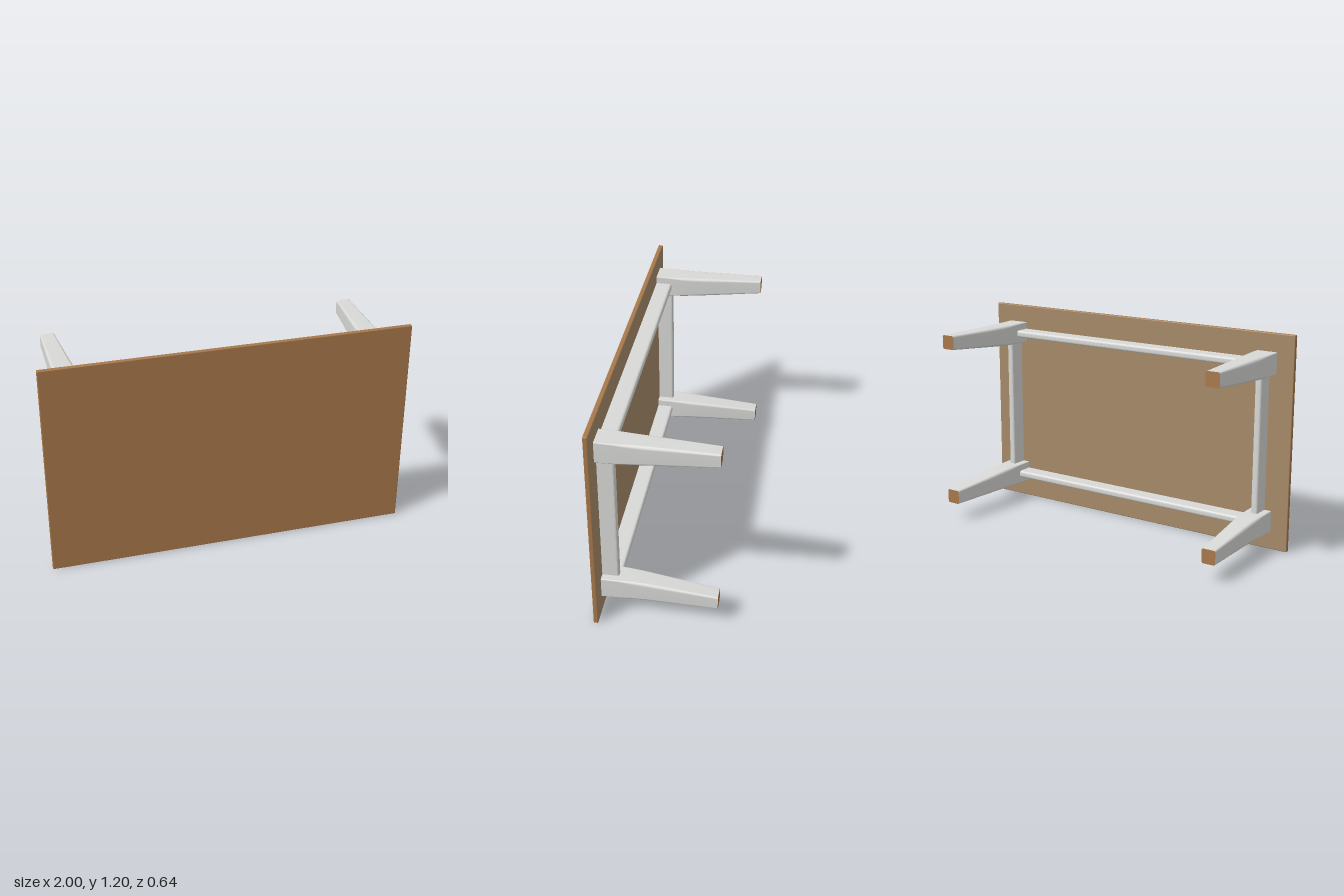
import * as THREE from 'three';
import { RoundedBoxGeometry } from 'three/addons/geometries/RoundedBoxGeometry.js';

const wood = new THREE.MeshStandardMaterial({ color: 0xa8784a });
wood.name = 'warm wood';
const underside = new THREE.MeshStandardMaterial({ color: 0xa68a68 });
underside.name = 'pale wood underside';
const paint = new THREE.MeshStandardMaterial({ color: 0xd8d8d6 });
paint.name = 'light grey paint';

const MID_Y = 0.6; // the table lies on its long edge, centred at this height
const BACK_Z = 0.295; // underside of the table top

function add(parent, name, geometry, material) {
  const mesh = new THREE.Mesh(geometry, material);
  mesh.name = name;
  parent.add(mesh);
  return mesh;
}

// Counter-clockwise outline of a square with rounded corners
function roundedSquare(cx, cy, size, r) {
  const points = [];
  const steps = 3;
  for (let corner = 0; corner < 4; corner++) {
    const mid = (corner + 0.5) * Math.PI / 2;
    const ox = Math.sign(Math.cos(mid)) * (size / 2 - r);
    const oy = Math.sign(Math.sin(mid)) * (size / 2 - r);
    for (let k = 0; k <= steps; k++) {
      const a = (corner + k / steps) * Math.PI / 2;
      points.push([cx + ox + r * Math.cos(a), cy + oy + r * Math.sin(a)]);
    }
  }
  return points;
}

// Leg sections: z, side length, corner radius
const LEG = [
  [0.295, 0.12, 0.004], [0.2, 0.12, 0.008], [0.14, 0.119, 0.014],
  [0.07, 0.115, 0.016], [0, 0.109, 0.016], [-0.1, 0.1, 0.014], [-0.32, 0.08, 0.01],
];

// Outer two faces stay straight while the inner two taper
function legRings(sx, sy) {
  return LEG.map(([z, s, r]) =>
    roundedSquare(sx * (0.9 - s / 2), MID_Y + sy * (0.5 - s / 2), s, r).map(([x, y]) => [x, y, z]));
}

function loft(rings) {
  const n = rings[0].length;
  const index = [];
  for (let i = 0; i < rings.length - 1; i++) {
    for (let j = 0; j < n; j++) {
      const a = i * n + j, b = i * n + (j + 1) % n;
      index.push(a, a + n, b, b, a + n, b + n);
    }
  }
  return build(rings.flat(), index);
}

// Flat end facing -z
function endCap(ring) {
  const index = [];
  for (let j = 1; j < ring.length - 1; j++) index.push(0, j + 1, j);
  return build(ring, index);
}

function build(points, index) {
  const g = new THREE.BufferGeometry();
  g.setAttribute('position', new THREE.Float32BufferAttribute(points.flat(), 3));
  g.setIndex(index);
  g.computeVertexNormals();
  return g;
}

// Rail running along x, with its inner edge rounded
function railGeometry(length) {
  const w = 0.02, r = 0.015, depth = 0.09;
  const s = new THREE.Shape();
  s.moveTo(-w, 0);
  s.lineTo(w, 0);
  s.lineTo(w, depth - r);
  s.quadraticCurveTo(w, depth, w - r, depth);
  s.lineTo(-w + r, depth);
  s.quadraticCurveTo(-w, depth, -w, depth - r);
  s.closePath();
  const g = new THREE.ExtrudeGeometry(s, { depth: length, bevelEnabled: false, curveSegments: 5 });
  g.translate(0, 0, -length / 2);
  g.rotateX(-Math.PI / 2); // length along y, depth towards -z
  return g;
}

export function createModel() {
  const table = new THREE.Group();
  table.name = 'table';

  // Table top, with a paler underside
  const top = add(table, 'tableTop', new RoundedBoxGeometry(2, 1.2, 0.025, 2, 0.005),
    [wood, wood, wood, wood, wood, underside]);
  top.position.set(0, MID_Y, BACK_Z + 0.0125);

  // Four tapered legs with bare wooden feet
  for (const sx of [-1, 1]) {
    for (const sy of [-1, 1]) {
      const rings = legRings(sx, sy);
      add(table, 'leg', loft(rings), paint);
      add(table, 'footEnd', endCap(rings[rings.length - 1]), wood);
    }
  }

  // Rails joining the legs
  for (const side of [-1, 1]) {
    const short = add(table, 'shortRail', railGeometry(0.78), paint);
    short.position.set(side * 0.84, MID_Y, BACK_Z);
    const long = add(table, 'longRail', railGeometry(1.58), paint);
    long.rotation.z = Math.PI / 2;
    long.position.set(0, MID_Y + side * 0.44, BACK_Z);
  }
  return table;
}
